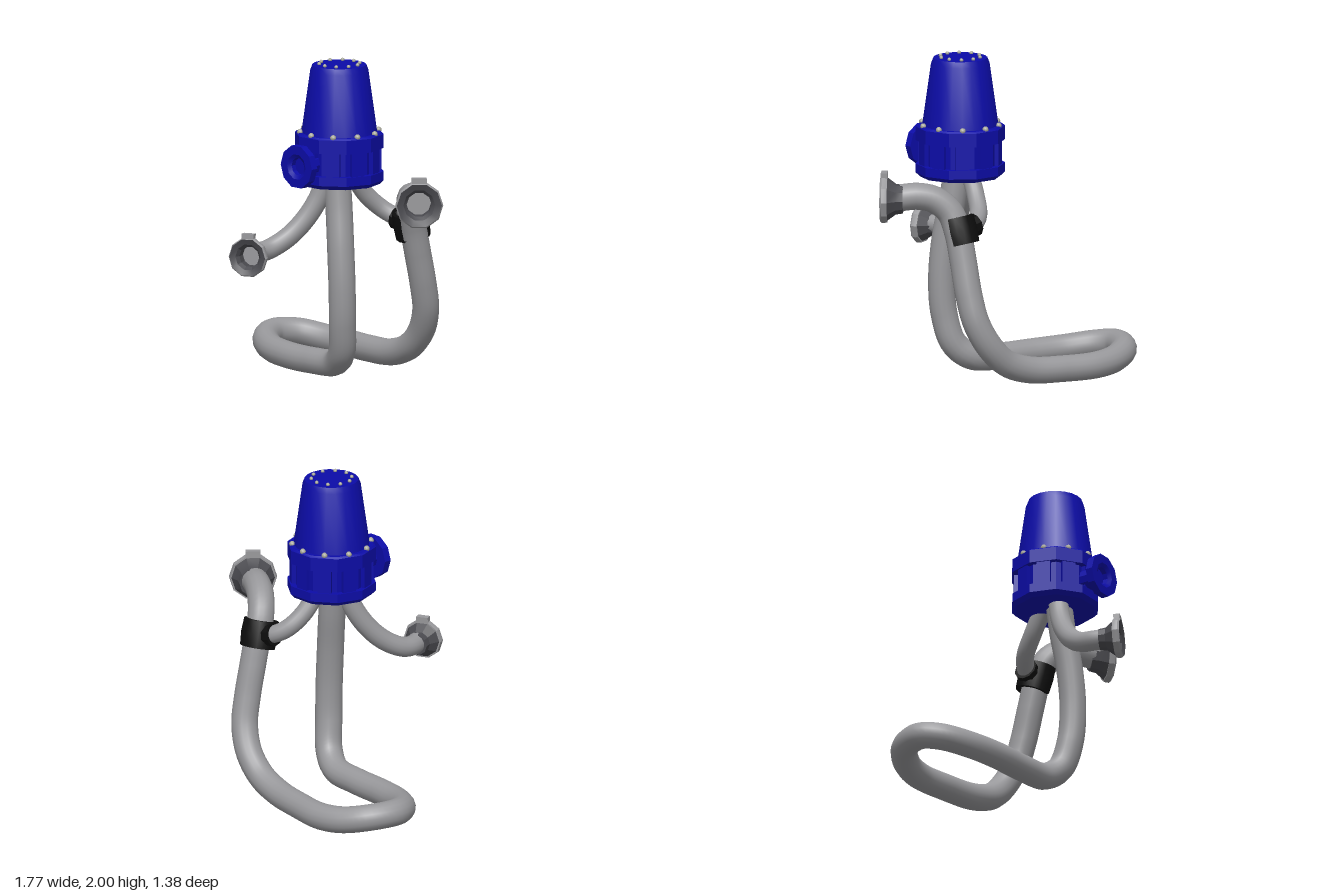
import * as THREE from 'three';
import { toCreasedNormals } from 'three/addons/utils/BufferGeometryUtils.js';

const mat = (name, color, side = THREE.FrontSide) => {
  const m = new THREE.MeshStandardMaterial({ color, side });
  m.name = name;
  return m;
};

export function createModel() {
  const blue = mat('blue paint', 0x0c0ca8);
  const grey = mat('grey pipe', 0x98989b);
  const dark = mat('dark fitting', 0x4b4b50);
  const black = mat('black clamp', 0x0d0d0d, THREE.DoubleSide);
  const silver = mat('bolt metal', 0xa9a99c);

  const root = new THREE.Group();
  root.name = 'regulator';

  const add = (parent, name, geo, material, x = 0, y = 0, z = 0) => {
    const mesh = new THREE.Mesh(geo, material);
    mesh.name = name;
    mesh.position.set(x, y, z);
    parent.add(mesh);
    return mesh;
  };
  // Revolved profile of [radius, height] pairs, with crisp edges
  const lathe = (pts, sides, crease = 0.5, start = Math.PI / 10, arc = Math.PI * 2) =>
    toCreasedNormals(new THREE.LatheGeometry(
      pts.map(([r, y]) => new THREE.Vector2(r, y)), sides, start, arc), crease);
  const v = (p) => new THREE.Vector3(...p);
  const pipe = (name, pts, r, segments) => add(root, name, new THREE.TubeGeometry(
    new THREE.CatmullRomCurve3(pts.map(v), false, 'centripetal'), segments, r, 16), grey);

  // Housing: two ten-sided flanges, a ribbed waist and a tapered cap
  const housing = new THREE.Group();
  housing.name = 'housing';
  housing.position.set(0.128, 0, 0.015);
  root.add(housing);
  add(housing, 'lowerFlange', lathe([[0, 1.245], [0.25, 1.245], [0.275, 1.27],
    [0.275, 1.325], [0.23, 1.325]], 10), blue);
  add(housing, 'waist', lathe([[0.238, 1.31], [0.238, 1.48]], 10), blue);
  add(housing, 'upperFlange', lathe([[0.23, 1.47], [0.275, 1.47], [0.275, 1.555],
    [0.262, 1.565], [0.22, 1.565]], 10), blue);
  add(housing, 'cap', lathe([[0.234, 1.56], [0.18, 1.945], [0.166, 1.982], [0, 1.982]], 20), blue);

  const ribGeo = new THREE.BoxGeometry(0.085, 0.16, 0.05);
  const boltGeo = new THREE.SphereGeometry(0.019, 8, 6);
  const smallBoltGeo = new THREE.SphereGeometry(0.012, 8, 6);
  for (let i = 0; i < 10; i++) {
    const a = i * Math.PI / 5, s = Math.sin(a), c = Math.cos(a);
    add(housing, 'rib', ribGeo, blue, s * 0.228, 1.395, c * 0.228).rotation.y = a;
    add(housing, 'flangeBolt', boltGeo, silver, s * 0.243, 1.568, c * 0.243);
    add(housing, 'capBolt', smallBoltGeo, silver, s * 0.125, 1.988, c * 0.125);
  }

  // Front port: neck and recessed disc
  const port = add(root, 'frontPort', lathe([[0.065, 0], [0.065, 0.12], [0.135, 0.12], [0.135, 0.167],
    [0.08, 0.167], [0.055, 0.152], [0.055, 0.12], [0, 0.12]], 10), blue, 0.125, 1.392, 0.217);
  port.rotation.x = Math.PI / 2;

  // Long looping pipe from the housing to the large nozzle
  pipe('loopPipe', [
    [0.135, 1.27, 0.04], [0.16, 1.1, 0.05], [0.2, 0.85, 0.075], [0.22, 0.6, 0.083], [0.21, 0.38, 0.07],
    [0.165, 0.2, 0.03], [0.06, 0.115, -0.015], [-0.15, 0.095, -0.035], [-0.4, 0.095, -0.06],
    [-0.6, 0.105, -0.12], [-0.75, 0.13, -0.23], [-0.803, 0.145, -0.35], [-0.74, 0.135, -0.5],
    [-0.6, 0.105, -0.585], [-0.43, 0.09, -0.611], [-0.2, 0.09, -0.575], [0.03, 0.105, -0.535],
    [0.2, 0.165, -0.515], [0.32, 0.28, -0.5], [0.395, 0.43, -0.465], [0.417, 0.6, -0.42],
    [0.42, 0.8, -0.37], [0.425, 0.97, -0.325], [0.448, 1.1, -0.275], [0.515, 1.175, -0.215],
    [0.6, 1.2, -0.155], [0.69, 1.193, -0.095],
  ], 0.083, 160);

  // Slim branch pipes
  pipe('frontBranchPipe', [[0.08, 1.29, 0.07], [0.04, 1.14, 0.115], [-0.005, 1.02, 0.18],
    [-0.055, 0.92, 0.27], [-0.1, 0.855, 0.38], [-0.108, 0.84, 0.46], [-0.085, 0.84, 0.54]], 0.062, 48);
  pipe('rearBranchPipe', [[0.14, 1.28, -0.09], [0.165, 1.15, -0.18], [0.215, 1.06, -0.265],
    [0.29, 1.01, -0.315], [0.4, 0.98, -0.325]], 0.055, 40);

  // Flared nozzle looking along dir: dark cone and mouth, light rim and tab
  const nozzle = (name, center, dir, R, neck, length) => {
    const g = new THREE.Group();
    g.name = name;
    g.position.set(...center);
    g.lookAt(v(center).add(v(dir)));
    root.add(g);
    const turn = (m) => { m.rotation.x = Math.PI / 2; };
    const bore = R * 0.52;
    turn(add(g, 'cone', lathe([[0, -length], [neck, -length], [neck * 1.08, -length * 0.65],
      [R * 0.93, -0.025]], 10), dark));
    turn(add(g, 'rim', lathe([[R * 0.88, -0.03], [R * 0.97, -0.03], [R, -0.015], [R, 0.004],
      [R * 0.94, 0.015]], 10), grey));
    turn(add(g, 'mouth', lathe([[R * 0.94, 0.015], [R * 0.66, 0.0], [bore, -0.025],
      [bore, -length * 0.75]], 10), dark));
    add(g, 'pipeEnd', new THREE.CircleGeometry(bore, 16), grey, 0, 0, -length * 0.7);
    add(g, 'tab', new THREE.BoxGeometry(R * 0.62, 0.04, 0.04), grey, 0, R + 0.002, -0.01);
  };
  nozzle('largeNozzle', [0.777, 1.185, -0.028], [0.74, 0, 0.67], 0.147, 0.088, 0.125);
  nozzle('smallNozzle', [-0.055, 0.837, 0.622], [0.42, 0.03, 0.9], 0.124, 0.066, 0.125);

  // Open clamp wrapped around the riser, with a collar for the rear branch
  const clamp = new THREE.Group();
  clamp.name = 'clamp';
  clamp.position.set(0.412, 0.985, -0.322);
  clamp.quaternion.setFromUnitVectors(new THREE.Vector3(0, 1, 0), v([0.06, 1, 0.28]).normalize());
  root.add(clamp);
  const deg = Math.PI / 180;
  add(clamp, 'clampSleeve', lathe([[0.084, -0.085], [0.108, -0.085], [0.114, 0], [0.108, 0.085],
    [0.084, 0.085]], 12, 0.5, 112 * deg, 262 * deg), black);
  const collar = add(root, 'clampCollar', lathe([[0.074, 0], [0.074, 0.08], [0.04, 0.08]], 10),
    black, 0.365, 0.99, -0.325);
  collar.quaternion.setFromUnitVectors(new THREE.Vector3(0, 1, 0), v([-1, 0.25, 0.1]).normalize());

  return root;
}
